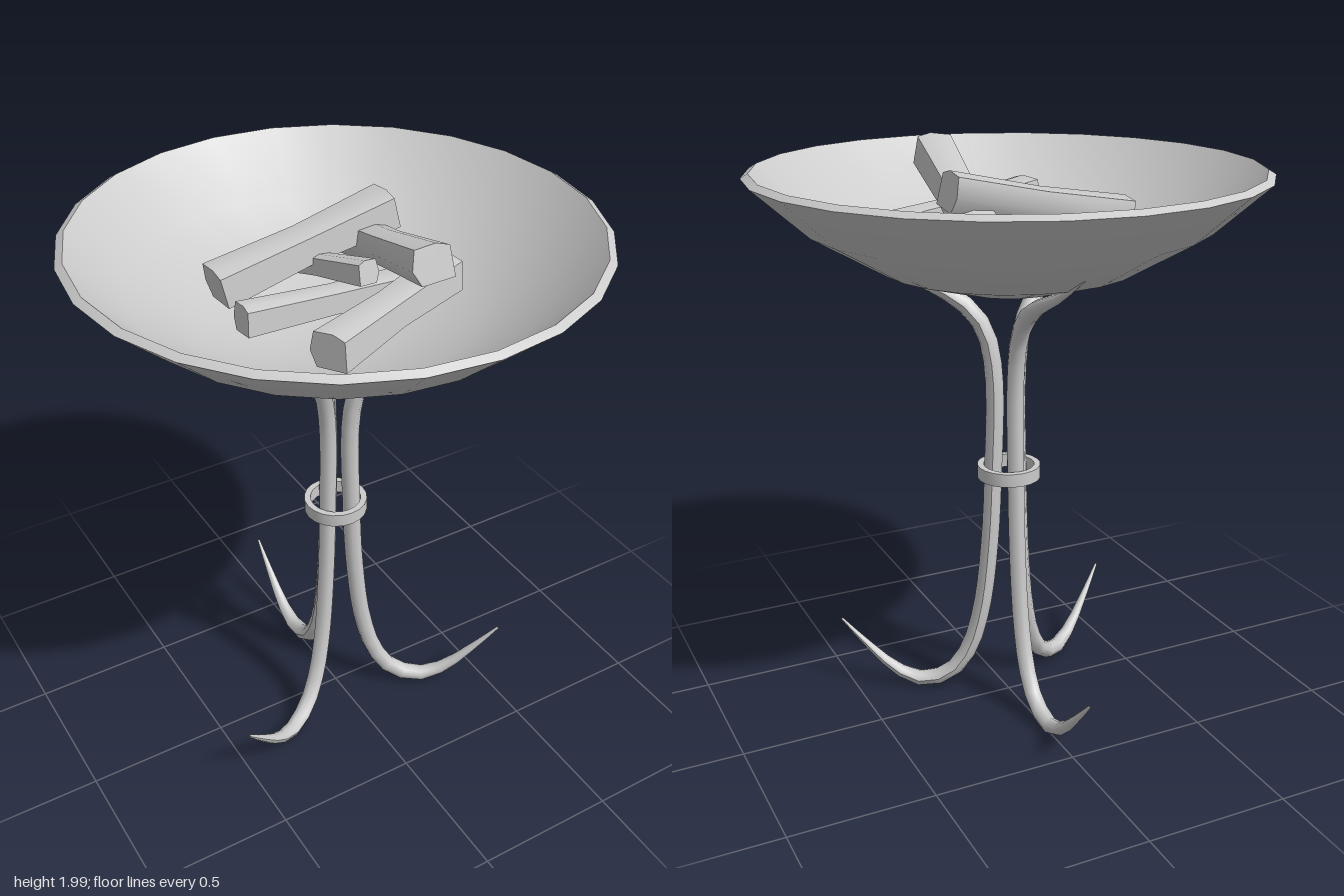
import * as THREE from 'three';
import { toCreasedNormals } from 'three/addons/utils/BufferGeometryUtils.js';

const grey = new THREE.MeshStandardMaterial({ color: 0xcccccc });

function mesh(name, geometry) {
  const m = new THREE.Mesh(geometry, grey);
  m.name = name;
  return m;
}

const lathe = (pts, sides) =>
  new THREE.LatheGeometry(pts.map(([r, y]) => new THREE.Vector2(r, y)), sides);

// Shallow dish: spherical underside, sloping rim, inner surface
function bowl() {
  const cap = (r, R, bottom) => [r, bottom + R - Math.sqrt(R * R - r * r)];
  const outer = [0, 0.2, 0.43, 0.67].map(r => cap(r, 1.1, 1.515));
  const inner = [0.65, 0.42, 0.2, 0].map(r => cap(r, 1.1, 1.54));
  const profile = [...outer, [0.85, 1.905], [0.825, 1.92], ...inner];
  return mesh('bowl', toCreasedNormals(lathe(profile, 24), 0.6));
}

// Curved leg in the plane x = 0, tapering at foot and top
function leg() {
  const path = new THREE.CatmullRomCurve3([
    [0.615, 0.268], [0.52, 0.165], [0.41, 0.065], [0.32, 0.032], [0.22, 0.066], [0.15, 0.16],
    [0.1, 0.33], [0.068, 0.6], [0.055, 0.87], [0.05, 1.2], [0.073, 1.35], [0.12, 1.435],
    [0.2, 1.495], [0.36, 1.568], [0.542, 1.672],
  ].map(([r, y]) => new THREE.Vector3(0, y, r)));
  const segments = 32, sides = 8;
  const g = new THREE.TubeGeometry(path, segments, 0.031, sides, false);
  const pos = g.attributes.position, v = new THREE.Vector3();
  for (let i = 0; i <= segments; i++) {
    const u = i / segments, centre = path.getPointAt(u);
    const taper = Math.min(1, 0.15 + 5 * u, 0.08 + 5 * (1 - u));
    for (let j = 0; j <= sides; j++) {
      const k = i * (sides + 1) + j;
      v.fromBufferAttribute(pos, k).sub(centre).multiplyScalar(taper).add(centre);
      pos.setXYZ(k, v.x, v.y, v.z);
    }
  }
  g.computeVertexNormals();
  return mesh('leg', g);
}

// Split log between two end points, slightly waisted in the middle
function log(a, b, width, height) {
  const start = new THREE.Vector3(...a), end = new THREE.Vector3(...b);
  const section = [[-0.5, -0.4], [-0.42, 0.4], [-0.1, 0.5], [0.42, 0.42], [0.5, -0.1], [0.3, -0.5]];
  const length = start.distanceTo(end);
  const g = new THREE.CylinderGeometry(1, 1, length, 6, 2).toNonIndexed();
  const pos = g.attributes.position;
  for (let i = 0; i < pos.count; i++) {
    const x = pos.getX(i), y = pos.getY(i), z = pos.getZ(i);
    if (Math.hypot(x, z) < 0.1) { pos.setXYZ(i, 0, 0, y); continue; }
    const corner = (Math.round(Math.atan2(x, z) / (Math.PI / 3)) + 6) % 6;
    const [sx, sy] = section[(6 - corner) % 6];
    const waist = Math.abs(y) < 0.01 ? 0.85 : 1;
    pos.setXYZ(i, sx * width * waist, sy * height * waist, y);
  }
  // Keep the faces outward whichever way the section runs
  const p = [0, 1, 2].map(i => new THREE.Vector3().fromBufferAttribute(pos, i));
  const normal = p[1].clone().sub(p[0]).cross(p[2].clone().sub(p[0]));
  if (normal.dot(new THREE.Vector3(p[0].x + p[1].x + p[2].x, p[0].y + p[1].y + p[2].y, 0)) < 0) {
    for (let i = 0; i < pos.count; i += 3) {
      const q = [0, 2, 1].map(k => new THREE.Vector3().fromBufferAttribute(pos, i + k));
      q.forEach((c, k) => pos.setXYZ(i + k, c.x, c.y, c.z));
    }
  }
  const m = mesh('log', toCreasedNormals(g, 0.9));
  m.position.copy(start).add(end).multiplyScalar(0.5);
  m.lookAt(end);
  return m;
}

export function createModel() {
  const model = new THREE.Group();
  model.name = 'fireBowl';
  model.add(bowl());

  // Three legs, one to the back
  for (let i = 0; i < 3; i++) {
    const l = leg();
    l.rotation.y = Math.PI + i * Math.PI * 2 / 3;
    model.add(l);
  }

  // Collar binding the legs together
  const collar = [[0.088, 0.85], [0.11, 0.85], [0.11, 0.897], [0.088, 0.897], [0.088, 0.85]];
  model.add(mesh('collar', toCreasedNormals(lathe(collar, 20), 0.6)));

  // Pile of firewood
  const logs = new THREE.Group();
  logs.name = 'firewood';
  [
    [[-0.35, 1.76, -0.135], [0.27, 1.88, -0.135], 0.145, 0.125],
    [[0.11, 1.935, 0.365], [0.21, 1.74, -0.28], 0.135, 0.12],
    [[-0.25, 1.76, 0.38], [0.35, 1.73, 0.1], 0.13, 0.12],
    [[-0.33, 1.7, -0.005], [0.315, 1.66, -0.005], 0.1, 0.1],
    [[-0.045, 1.715, -0.285], [0.03, 1.83, 0.145], 0.08, 0.08],
  ].forEach(args => logs.add(log(...args)));
  model.add(logs);
  return model;
}
